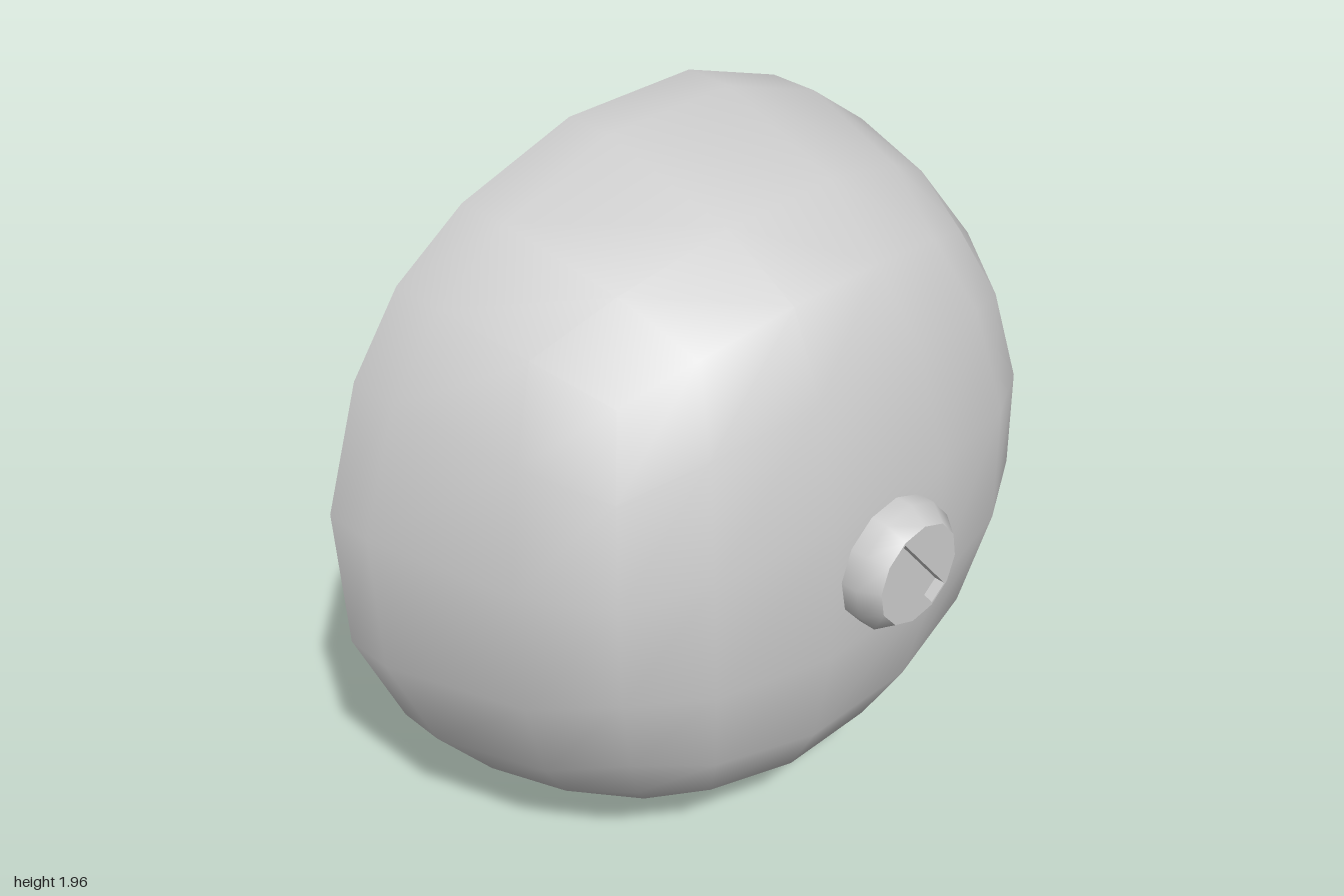
import * as THREE from 'three';
import { mergeVertices } from 'three/addons/utils/BufferGeometryUtils.js';

const CY = 0.98; // height of the dome's centre

// Cube-grid point rounded onto a ball, then flattened towards the front
function domePoint(u, v, w) {
  const p = new THREE.Vector3(u, v, w).normalize().multiplyScalar(1.0392);
  const t = THREE.MathUtils.clamp(1 - p.z, 0, 0.805);
  const drop = 0.5625 * t + 0.5 * t * t;
  const lift = (p.y > 0 ? 0.02 : 0.075) * p.y ** 4 * (drop / 0.77) ** 2;
  return new THREE.Vector3(p.x, CY + 0.98 * p.y, 0.412 - drop + lift);
}

function smoothGeometry(points, index) {
  const indexed = new THREE.BufferGeometry().setFromPoints(points);
  indexed.setIndex(index);
  const g = mergeVertices(indexed, 1e-4);
  g.computeVertexNormals();
  return g;
}

// The 20 points round the edge of the front grid, counterclockwise
function perimeter() {
  const side = [0, 1, 2, 3, 4].map(i => -1 + 0.4 * i);
  return [
    ...side.map(s => [s, -1]), ...side.map(s => [1, s]),
    ...side.map(s => [-s, 1]), ...side.map(s => [-1, -s]),
  ];
}

// Slightly uneven rim depth, from the bottom level to the top
const RIM_Z = [-0.43, -0.457, -0.487, -0.494, -0.5, -0.506, -0.512, -0.513, -0.5, -0.482];

function rimPoints() {
  return perimeter().map(([u, v], i) => {
    const level = i >= 3 && i <= 12 ? i - 3 : (22 - i) % 20;
    return domePoint(u, v, 0.2).setZ(RIM_Z[level]);
  });
}

function domeGeometry() {
  const points = [], index = [];
  // front grid
  const plane = new THREE.PlaneGeometry(2, 2, 5, 5);
  const pos = plane.attributes.position;
  for (let i = 0; i < pos.count; i++) points.push(domePoint(pos.getX(i), pos.getY(i), 1));
  index.push(...plane.index.array);
  // side wall down to the rim
  const start = points.length;
  for (const w of [1, 0.6, 0.2]) points.push(...perimeter().map(([u, v]) => domePoint(u, v, w)));
  points.push(...rimPoints());
  for (let r = 0; r < 3; r++) {
    for (let i = 0; i < 20; i++) {
      const a = start + r * 20 + i, b = start + r * 20 + (i + 1) % 20;
      index.push(a, a + 20, b + 20, a, b + 20, b);
    }
  }
  return smoothGeometry(points, index);
}

// Slightly hollow back, in upright strips from side to side
function backGeometry() {
  const index = [];
  const bottom = k => (18 + k) % 20, top = k => 17 - k;
  for (let k = 0; k < 9; k++) {
    index.push(bottom(k), top(k), top(k + 1), bottom(k), top(k + 1), bottom(k + 1));
  }
  return smoothGeometry(rimPoints(), index);
}

export function createModel() {
  const model = new THREE.Group();
  const material = new THREE.MeshStandardMaterial({ color: 0xcccccc });
  const add = (parent, name, geometry, mat = material) => {
    const mesh = new THREE.Mesh(geometry, mat);
    mesh.name = name;
    parent.add(mesh);
    return mesh;
  };

  add(model, 'dome', domeGeometry());
  add(model, 'backFace', backGeometry());

  // Slotted screw head in the middle of the front
  const screw = new THREE.Group();
  screw.name = 'screw';
  screw.position.set(0.007, CY + 0.007, 0);
  screw.rotation.z = -0.1;
  model.add(screw);

  const profile = [[0.177, 0.36], [0.177, 0.46], [0.14, 0.51]];
  const body = new THREE.LatheGeometry(profile.map(([r, z]) => new THREE.Vector2(r, z)), 12);
  add(screw, 'screwHead', body.rotateX(Math.PI / 2));

  // Flat face with the slot cut out
  const angle = -0.8, L = 0.13, W = 0.029, depth = 0.03;
  const face = new THREE.Shape();
  for (let i = 0; i < 12; i++) {
    const a = i * Math.PI / 6;
    face[i ? 'lineTo' : 'moveTo'](0.14 * Math.cos(a), 0.14 * Math.sin(a));
  }
  const corners = [[-L, -W], [-L, W], [L, W], [L, -W]]
    .map(([x, y]) => new THREE.Vector2(x, y).rotateAround(new THREE.Vector2(), angle));
  face.holes.push(new THREE.Path(corners));
  add(screw, 'screwFace', new THREE.ShapeGeometry(face)).position.z = 0.51;

  // Slot walls and floor, seen from inside
  const inside = new THREE.MeshStandardMaterial({ color: 0xcccccc, side: THREE.BackSide });
  const slot = add(screw, 'screwSlot', new THREE.BoxGeometry(2 * L, 2 * W, depth), inside);
  slot.geometry.setIndex([...slot.geometry.index.array].filter((_, i) => i < 24 || i >= 30)); // open front
  slot.position.z = 0.51 - depth / 2;
  slot.rotation.z = angle;

  return model;
}
